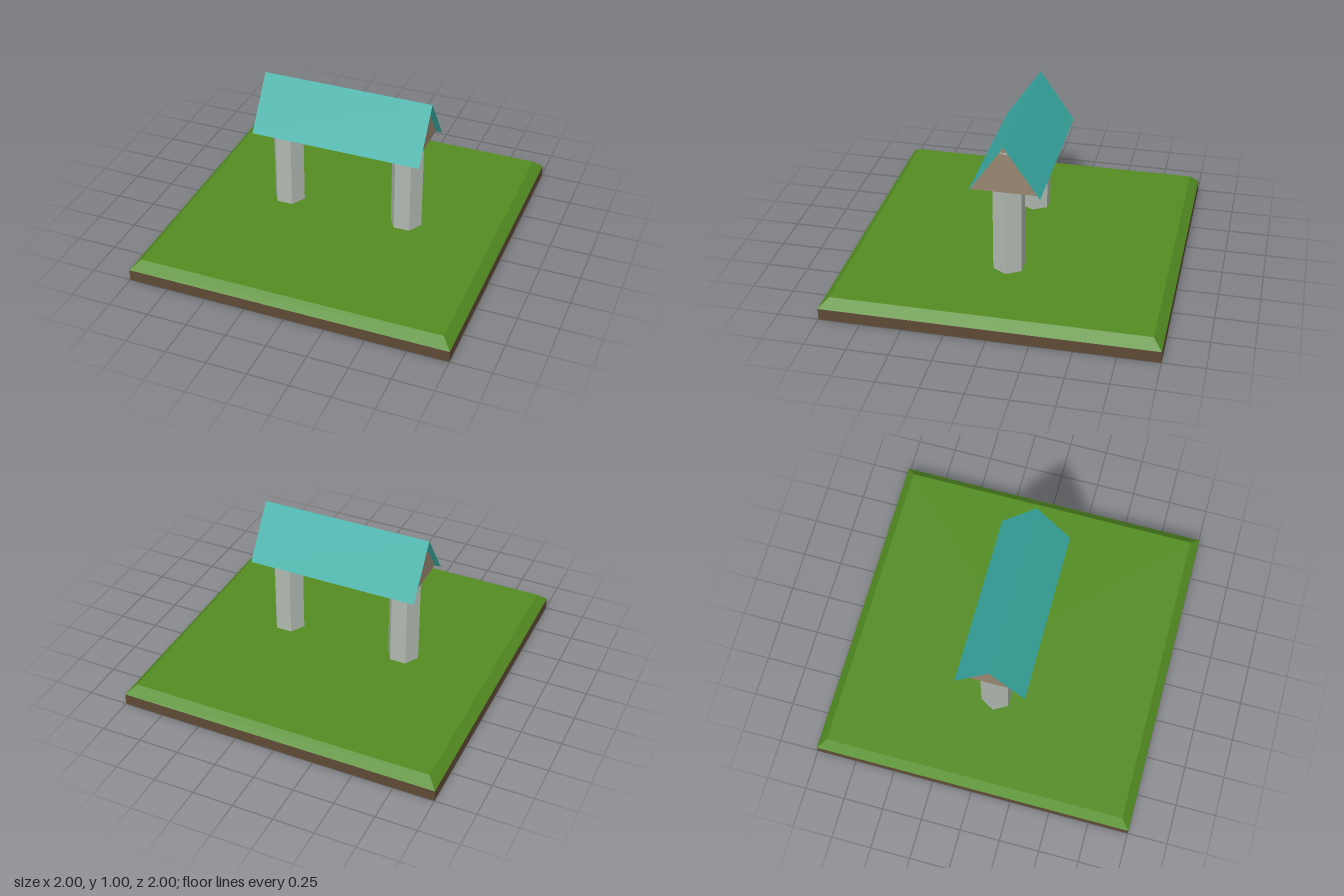
import * as THREE from 'three';

export function createModel() {
  const model = new THREE.Group();
  const mat = (name, color, side = THREE.FrontSide) => {
    const m = new THREE.MeshStandardMaterial({ color, side, flatShading: true });
    m.name = name;
    return m;
  };
  const soil = mat('soil', 0x5f4a35);
  const grass = mat('grass', 0x538c22);
  const stone = mat('stone', 0xb0b9b0);
  const wood = mat('wood', 0x988671, THREE.DoubleSide);
  const tiles = mat('roofTeal', 0x3aafa6, THREE.DoubleSide);

  const add = (name, geometry, material, x = 0, y = 0, z = 0) => {
    const mesh = new THREE.Mesh(geometry, material);
    mesh.name = name;
    mesh.position.set(x, y, z);
    model.add(mesh);
    return mesh;
  };

  // Ground slab with a bevelled turf layer
  add('soilSlab', new THREE.BoxGeometry(2, 0.072, 2), soil, 0, 0.036, 0);
  const turf = new THREE.CylinderGeometry(0.945 * Math.SQRT2, Math.SQRT2, 0.055, 4);
  turf.rotateY(Math.PI / 4);
  add('turf', turf, grass, 0, 0.0995, 0);

  const ridge = 0.995, eave = 0.683, half = 0.215, length = 1.064;
  const slope = Math.hypot(half, ridge - eave);
  const pitch = Math.atan2(half, ridge - eave);

  // Outline of the gable in z and y, relative to the ridge
  const triangle = new THREE.Shape();
  triangle.moveTo(0, 0);
  triangle.lineTo(-half, eave - ridge);
  triangle.lineTo(half, eave - ridge);
  triangle.closePath();

  // Small rounded cap panel in the peak of the gable
  const peak = new THREE.Shape();
  peak.moveTo(0, 0);
  peak.absarc(0, 0, 0.064, -Math.PI / 2 - pitch, -Math.PI / 2 + pitch, false);
  peak.closePath();

  for (const s of [1, -1]) {
    const side = s > 0 ? 'left' : 'right';
    // Hexagonal pillar with corners pointing along x
    const pillar = new THREE.CylinderGeometry(0.1, 0.1, 0.74, 6);
    pillar.rotateY(Math.PI / 2);
    add(side + 'Pillar', pillar, stone, s * 0.39, 0.49, 0);

    // Recessed gable panel and its peak
    add(side + 'Gable', new THREE.ShapeGeometry(triangle), wood, s * 0.492, ridge, 0)
      .rotation.y = s * Math.PI / 2;
    add(side + 'GablePeak', new THREE.ShapeGeometry(peak), stone, s * 0.494, ridge, 0)
      .rotation.y = s * Math.PI / 2;

    // Thin roof slope
    const panel = new THREE.PlaneGeometry(length, slope);
    panel.translate(0, -slope / 2, 0);
    panel.rotateX(-pitch);
    if (s < 0) panel.rotateY(Math.PI);
    add(s > 0 ? 'frontRoofSlope' : 'backRoofSlope', panel, tiles, 0, ridge, 0);
  }
  return model;
}
